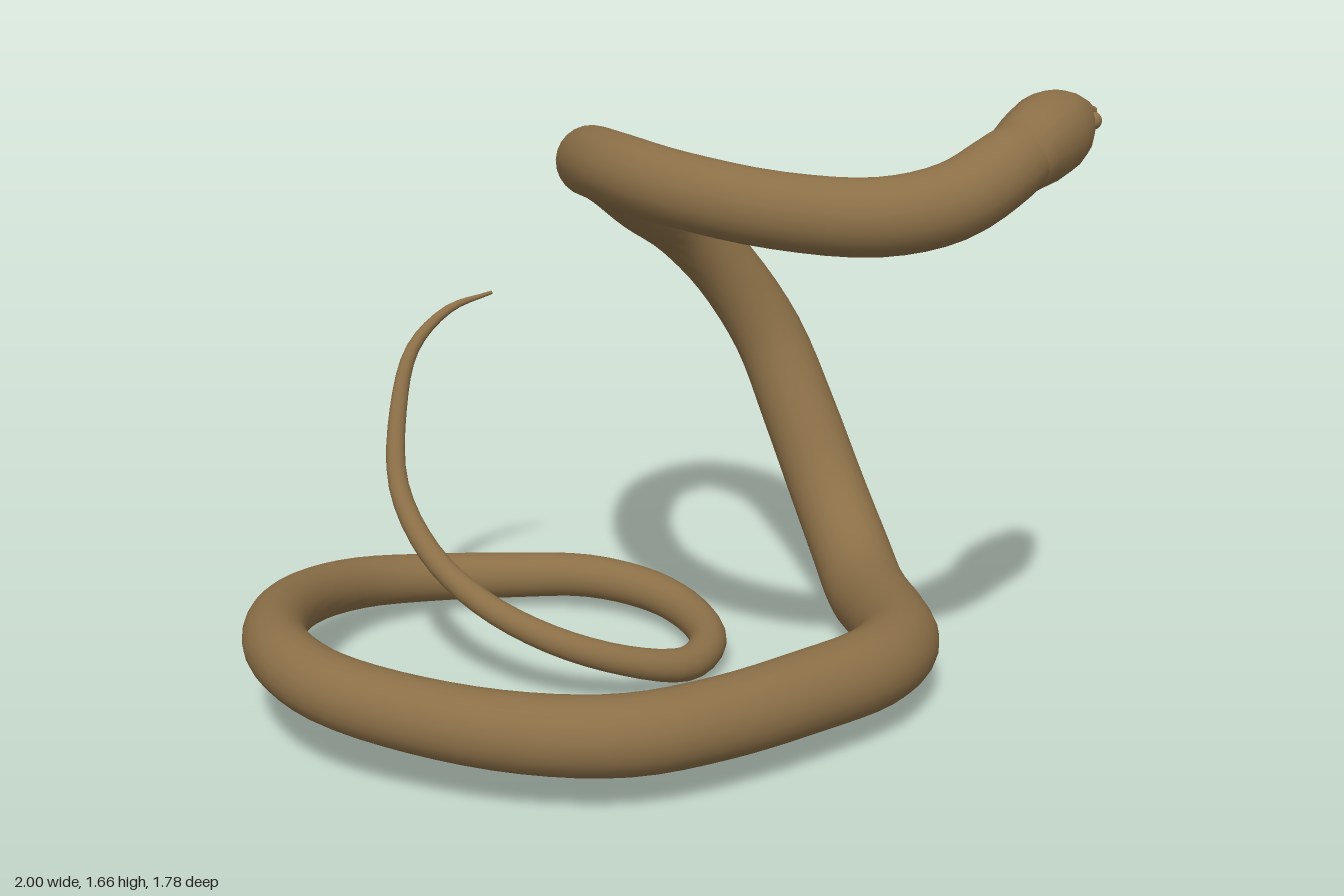
import * as THREE from 'three';

// Skin a list of closed rings (counter-clockwise about the direction of travel), capping both ends
function loft(rings) {
  const n = rings[0].length, pos = [], idx = [];
  rings.forEach(r => r.forEach(p => pos.push(p.x, p.y, p.z)));
  for (let i = 0; i < rings.length - 1; i++) {
    for (let j = 0; j < n; j++) {
      const k = (j + 1) % n;
      const a = i * n + j, d = i * n + k, b = a + n, c = d + n;
      idx.push(a, d, b, d, c, b);
    }
  }
  [0, rings.length - 1].forEach(i => {
    const mid = rings[i].reduce((s, p) => s.add(p), new THREE.Vector3()).divideScalar(n);
    const m = pos.length / 3;
    pos.push(mid.x, mid.y, mid.z);
    for (let j = 0; j < n; j++) {
      const a = i * n + j, b = i * n + (j + 1) % n;
      if (i === 0) idx.push(m, b, a); else idx.push(m, a, b);
    }
  });
  const g = new THREE.BufferGeometry();
  g.setAttribute('position', new THREE.Float32BufferAttribute(pos, 3));
  g.setIndex(idx);
  g.computeVertexNormals();
  return g;
}

// Sweep a round section of varying radius along rows of [x, y, z, radius]
function sweep(rows, sides, stepsPerRow) {
  const path = new THREE.CatmullRomCurve3(rows.map(r => new THREE.Vector3(r[0], r[1], r[2])));
  const radii = new THREE.SplineCurve(rows.map((r, i) => new THREE.Vector2(i, r[3])));
  const steps = (rows.length - 1) * stepsPerRow, rings = [];
  const normal = new THREE.Vector3(0, 1, 0);
  for (let i = 0; i <= steps; i++) {
    const t = i / steps, p = path.getPoint(t), dir = path.getTangent(t), r = radii.getPoint(t).y;
    normal.addScaledVector(dir, -normal.dot(dir)).normalize();
    const side = dir.clone().cross(normal);
    rings.push(Array.from({ length: sides }, (_, j) => {
      const a = j / sides * Math.PI * 2;
      return p.clone().addScaledVector(normal, r * Math.cos(a)).addScaledVector(side, r * Math.sin(a));
    }));
  }
  return loft(rings);
}

// Tail: tip, raised curl and the small inner loop
const tail = [
  [-0.18, 0.97, -0.582, 0.005], [-0.31, 0.94, -0.56, 0.012], [-0.42, 0.85, -0.53, 0.018],
  [-0.48, 0.70, -0.475, 0.023], [-0.51, 0.52, -0.38, 0.027], [-0.465, 0.37, -0.25, 0.031],
  [-0.37, 0.27, -0.11, 0.034], [-0.22, 0.19, 0.01, 0.037], [-0.03, 0.12, 0.06, 0.040],
  [0.15, 0.07, 0.03, 0.046], [0.27, 0.065, -0.10, 0.050], [0.295, 0.07, -0.29, 0.054],
];
// Wide loop lying on the ground
const coil = [
  [0.24, 0.085, -0.45, 0.058], [0.10, 0.095, -0.60, 0.061], [-0.10, 0.09, -0.695, 0.065],
  [-0.32, 0.10, -0.732, 0.068], [-0.55, 0.135, -0.68, 0.072], [-0.75, 0.18, -0.51, 0.076],
  [-0.88, 0.22, -0.26, 0.081], [-0.915, 0.24, -0.01, 0.085], [-0.85, 0.23, 0.19, 0.089],
  [-0.68, 0.21, 0.375, 0.092], [-0.46, 0.195, 0.53, 0.096], [-0.23, 0.187, 0.61, 0.099],
  [0.02, 0.182, 0.59, 0.101], [0.27, 0.178, 0.52, 0.104], [0.50, 0.172, 0.43, 0.106],
  [0.65, 0.155, 0.28, 0.107], [0.735, 0.125, 0.05, 0.108],
];
// Rising body, upper bend and neck
const riser = [
  [0.785, 0.113, -0.18, 0.112], [0.82, 0.17, -0.36, 0.112], [0.82, 0.30, -0.52, 0.110],
  [0.785, 0.50, -0.65, 0.108], [0.725, 0.72, -0.755, 0.103], [0.60, 0.92, -0.79, 0.098],
  [0.45, 1.07, -0.765, 0.096], [0.29, 1.18, -0.66, 0.095], [0.13, 1.30, -0.48, 0.093],
  [0.00, 1.38, -0.25, 0.091], [-0.09, 1.435, 0.00, 0.089], [-0.12, 1.465, 0.25, 0.087],
  [-0.06, 1.46, 0.48, 0.087], [0.10, 1.44, 0.68, 0.087], [0.30, 1.43, 0.78, 0.089],
  [0.47, 1.455, 0.798, 0.090], [0.62, 1.515, 0.765, 0.087], [0.74, 1.55, 0.69, 0.076],
];

// Head sections: [forward, half width, top, bottom]
const headRows = [
  [-0.05, 0.072, 0.070, -0.075], [0.00, 0.086, 0.086, -0.088], [0.07, 0.096, 0.100, -0.088],
  [0.15, 0.101, 0.107, -0.080], [0.22, 0.092, 0.098, -0.070], [0.28, 0.074, 0.081, -0.062],
  [0.33, 0.060, 0.060, -0.054], [0.375, 0.048, 0.038, -0.046], [0.395, 0.032, 0.022, -0.033],
];

export function createModel() {
  const snake = new THREE.Group();
  snake.name = 'snake';
  const skin = new THREE.MeshStandardMaterial({ color: 0x8b6f47 });
  skin.name = 'brown skin';
  const add = (parent, name, geometry) => {
    const mesh = new THREE.Mesh(geometry, skin);
    mesh.name = name;
    parent.add(mesh);
    return mesh;
  };

  add(snake, 'body', sweep([...tail, ...coil, ...riser], 24, 4));

  // Head, pitched slightly up and rolled to its right
  const head = new THREE.Group();
  head.name = 'head';
  const forward = new THREE.Vector3(0.30, 0.035, -0.245).normalize();
  const left = new THREE.Vector3(0, 1, 0).cross(forward).normalize();
  const up = forward.clone().cross(left).addScaledVector(left, -0.33).normalize();
  left.crossVectors(up, forward);
  head.quaternion.setFromRotationMatrix(new THREE.Matrix4().makeBasis(left, up, forward));
  head.position.set(0.68, 1.535, 0.735);
  snake.add(head);

  add(head, 'skull', loft(headRows.map(([z, w, top, bottom]) =>
    Array.from({ length: 20 }, (_, j) => {
      const a = j / 20 * Math.PI * 2, c = Math.cos(a), s = Math.sin(a);
      const x = Math.sign(c) * Math.abs(c) ** 0.85 * w;
      return new THREE.Vector3(x, s * (s > 0 ? top : -bottom), z);
    }))));

  // Eyes and nostril bumps
  for (const side of [-1, 1]) {
    const name = side > 0 ? 'left' : 'right';
    add(head, name + 'Eye', new THREE.SphereGeometry(0.021, 16, 12)).position.set(side * 0.062, 0.040, 0.268);
    add(head, name + 'Nostril', new THREE.SphereGeometry(0.010, 10, 8)).position.set(side * 0.028, 0.024, 0.375);
  }
  return snake;
}
